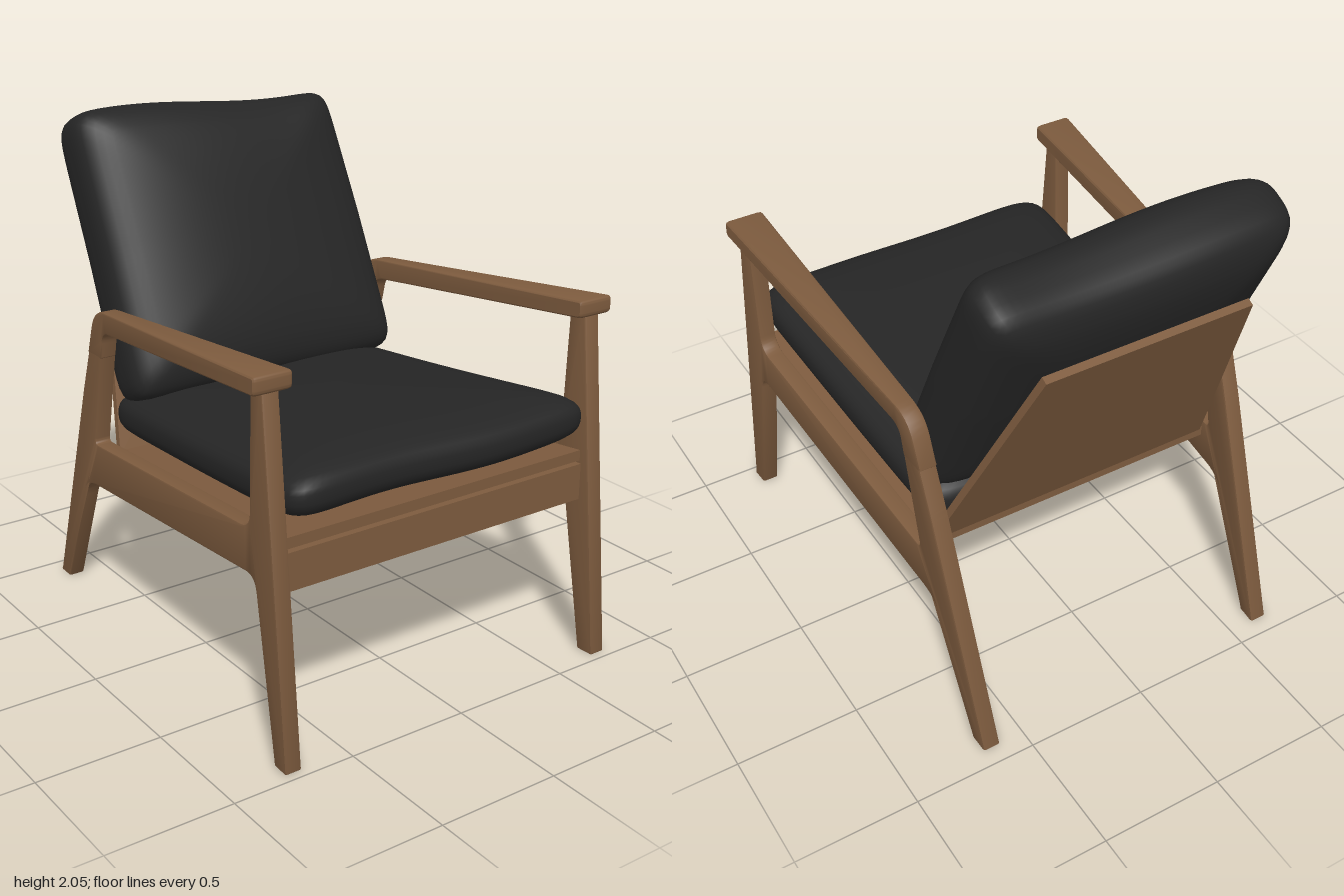
import * as THREE from 'three';
import { mergeVertices, toCreasedNormals } from 'three/addons/utils/BufferGeometryUtils.js';

const wood = new THREE.MeshStandardMaterial({ color: 0x7d5b3e });
wood.name = 'walnut wood';
const fabric = new THREE.MeshStandardMaterial({ color: 0x252525 });
fabric.name = 'black fabric';

const THICK = 0.07; // thickness of a side frame
const frameX = (z) => 0.685 + 0.05 * z; // the frames splay outwards to the front

// Moves every vertex of a geometry by a rule
function remap(geo, rule) {
  const p = geo.attributes.position;
  for (let i = 0; i < p.count; i++) {
    p.setXYZ(i, ...rule(p.getX(i), p.getY(i), p.getZ(i)));
  }
  return geo;
}

// Closed outline from [z, y, cornerRadius] points
function outline(points, path) {
  const n = points.length;
  points.forEach(([x, y, r = 0.006], i) => {
    const c = new THREE.Vector2(x, y);
    const toward = (q) => new THREE.Vector2(q[0], q[1]).sub(c).setLength(r).add(c);
    const a = toward(points[(i + n - 1) % n]);
    const b = toward(points[(i + 1) % n]);
    if (i === 0) path.moveTo(a.x, a.y);
    else path.lineTo(a.x, a.y);
    path.quadraticCurveTo(x, y, b.x, b.y);
  });
  path.closePath();
  return path;
}

// Side profile extruded across x, following the splay of the frame
function sidePiece(shape, side, width) {
  const b = 0.008;
  const geo = new THREE.ExtrudeGeometry(shape, {
    depth: THICK - 2 * b, curveSegments: 7,
    bevelThickness: b, bevelSize: b, bevelOffset: -b, bevelSegments: 2,
  });
  geo.translate(0, 0, -THICK / 2 + b);
  remap(geo, (u, v, w) => [side * frameX(u) - (w * width(u)) / THICK, v, u]);
  return toCreasedNormals(geo, 0.6);
}

// Plump cushion: a rounded box whose thin axis is y or z
function cushion(segments, thin, flatPower, edgePower, place) {
  let geo = new THREE.BoxGeometry(2, 2, 2, ...segments);
  geo.deleteAttribute('uv');
  geo.deleteAttribute('normal');
  geo = mergeVertices(geo);
  remap(geo, (x, y, z) => {
    const [l, t] = thin === 'y' ? [z, y] : [y, z];
    const flat = Math.pow(Math.abs(x) ** flatPower + Math.abs(l) ** flatPower, edgePower / flatPower);
    const k = Math.pow(flat + Math.abs(t) ** edgePower, -1 / edgePower);
    return place(x * k, y * k, z * k);
  });
  geo.computeVertexNormals();
  return geo;
}

// Point on the reclined back: t runs up the panel, n points forwards from it
const onBack = (x, t, n) => [x, 0.98 + 0.908 * t + 0.418 * n, -0.565 - 0.418 * t + 0.908 * n];

export function createModel() {
  const chair = new THREE.Group();
  chair.name = 'armchair';
  const add = (name, geo, mat, parent = chair) => {
    const m = new THREE.Mesh(geo, mat);
    m.name = name;
    parent.add(m);
  };

  // Side frames: front leg, rail, back leg and post in one outline
  const frame = outline([
    [0.965, 0], [0.825, 1.42], [-0.46, 1.315, 0.08], [-0.6, 0.95, 0.03], [-0.93, 0],
    [-0.85, 0], [-0.61, 0.545, 0.09], [0.765, 0.69, 0.06], [0.89, 0],
  ], new THREE.Shape());
  frame.holes.push(outline([
    [0.752, 1.375], [0.735, 0.86, 0.06], [-0.51, 0.74, 0.025], [-0.395, 1.25, 0.05],
  ], new THREE.Path()));

  // Armrests: wide at the front, tapering into the bend above the back post
  const arm = outline([
    [0.85, 1.45, 0.02], [-0.465, 1.325, 0.09], [-0.535, 1.13],
    [-0.421, 1.13], [-0.395, 1.245, 0.05], [0.85, 1.38, 0.02],
  ], new THREE.Shape());

  for (const side of [1, -1]) {
    const group = new THREE.Group();
    group.name = side > 0 ? 'leftSide' : 'rightSide';
    add('sideFrame', sidePiece(frame, side, () => THICK), wood, group);
    add('armrest', sidePiece(arm, side, (z) => 0.072 + 0.068 * Math.max(0, z + 0.4)), wood, group);
    chair.add(group);
  }

  // Front apron under the seat
  const apron = new THREE.BoxGeometry(1.39, 0.148, 0.05);
  apron.translate(0, 0.714, 0.827);
  add('frontApron', apron, wood);

  // Sloping seat panel, narrower at the back
  const seat = remap(new THREE.BoxGeometry(2, 2, 2), (x, y, z) => {
    const pz = 0.188 + 0.657 * z;
    return [x * (frameX(pz) - 0.034), 0.737 + 0.1 * pz + 0.0215 * y, pz];
  });
  seat.computeVertexNormals();
  add('seatPanel', seat, wood);

  // Reclined back panel, narrower at the top
  const back = remap(new THREE.BoxGeometry(2, 2, 2), (x, y, z) =>
    onBack(x * (0.52 - 0.1 * y), 0.24 + 0.55 * y, -0.015 + 0.015 * z));
  back.computeVertexNormals();
  add('backPanel', back, wood);

  // Seat cushion
  add('seatCushion', cushion([36, 14, 36], 'y', 14, 3, (x, y, z) => {
    const pz = 0.205 + 0.705 * z + 0.008 * Math.sin(5 * x) * z;
    const wave = 0.006 * Math.cos(4 * x + 2 * z);
    return [x * (0.652 + 0.05 * pz), 0.91 + 0.09 * pz + 0.133 * y + wave, pz];
  }), fabric);

  // Back cushion, with a slightly uneven top edge
  add('backCushion', cushion([36, 34, 16], 'z', 16, 3.3, (x, y, z) => {
    const up = Math.max(0, y);
    const sag = up * up * (0.022 * Math.sin(2.6 * x + 0.1) + 0.008);
    const puff = 0.012 * Math.cos(3 * x + 0.8) * (z < 0 ? up : 1);
    return onBack(
      x * (0.622 - 0.012 * y) - 0.012 * up,
      0.455 + 0.585 * y - sag,
      0.212 + 0.2 * z + puff * z,
    );
  }), fabric);

  return chair;
}
